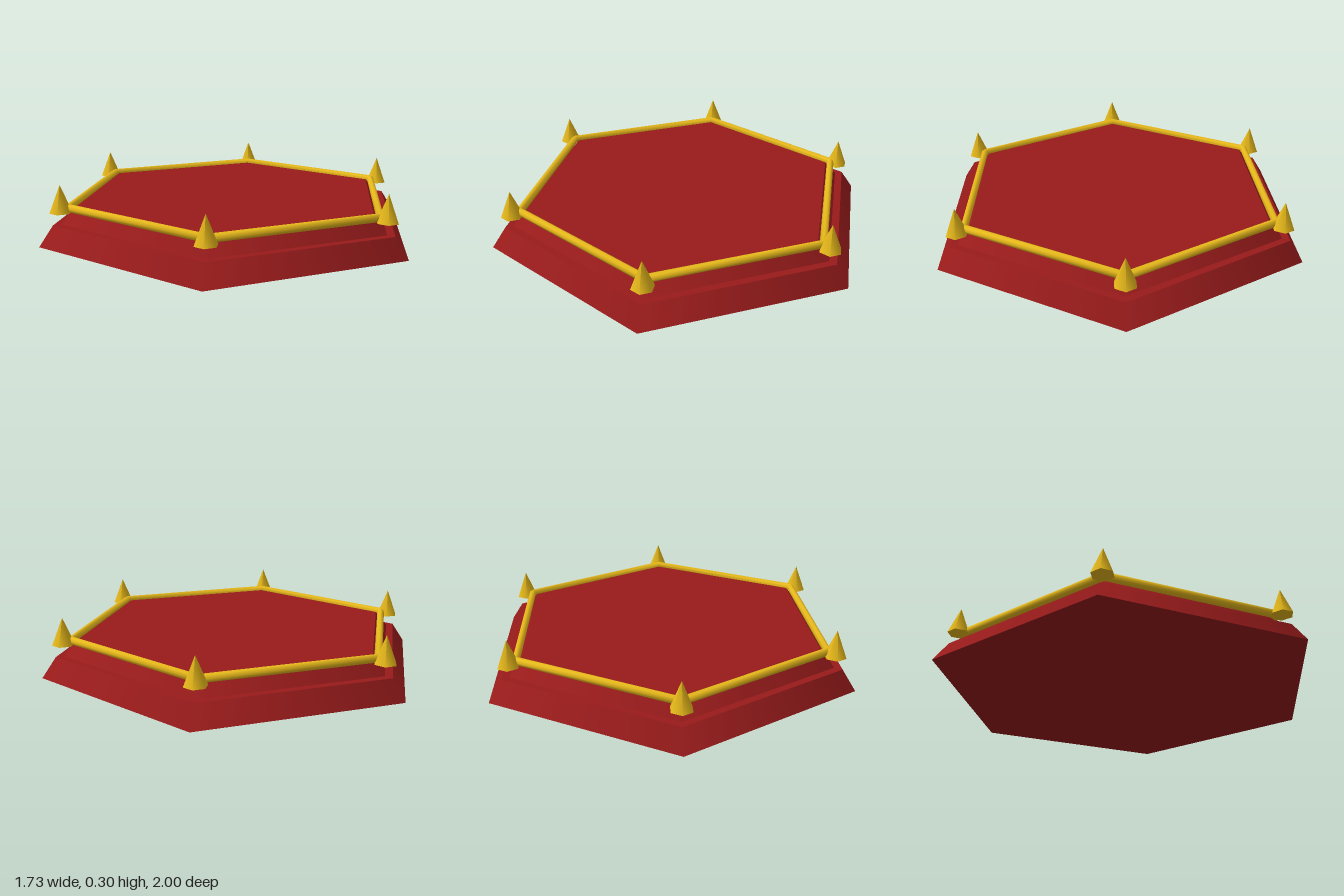
import * as THREE from 'three';

export function createModel() {
  const group = new THREE.Group();
  const red = new THREE.MeshStandardMaterial({ name: 'deep red', color: 0x991b1b });
  const gold = new THREE.MeshStandardMaterial({ name: 'gold', color: 0xf0c01c });

  const add = (name, geometry, material, x, y, z) => {
    const mesh = new THREE.Mesh(geometry, material);
    mesh.name = name;
    mesh.position.set(x, y, z);
    group.add(mesh);
  };

  // Two tapered hexagonal tiers, corners pointing along z
  const tier = (name, top, bottom, y0, y1) =>
    add(name, new THREE.CylinderGeometry(top, bottom, y1 - y0, 6), red, 0, (y0 + y1) / 2, 0);
  tier('lowerTier', 0.93, 1, 0, 0.1);
  tier('upperTier', 0.82, 0.888, 0.1, 0.178);

  // Six-sided rail round the edge of the upper tier
  const rail = new THREE.TorusGeometry(0.85, 0.021, 8, 6).rotateZ(Math.PI / 6).rotateX(Math.PI / 2);
  add('rail', rail, gold, 0, 0.178, 0);

  // A spike at every corner
  const spike = new THREE.ConeGeometry(0.055, 0.135, 6);
  for (let i = 0; i < 6; i++) {
    const a = (i * Math.PI) / 3;
    add('cornerSpike' + (i + 1), spike, gold, 0.888 * Math.sin(a), 0.2275, 0.888 * Math.cos(a));
  }
  return group;
}
